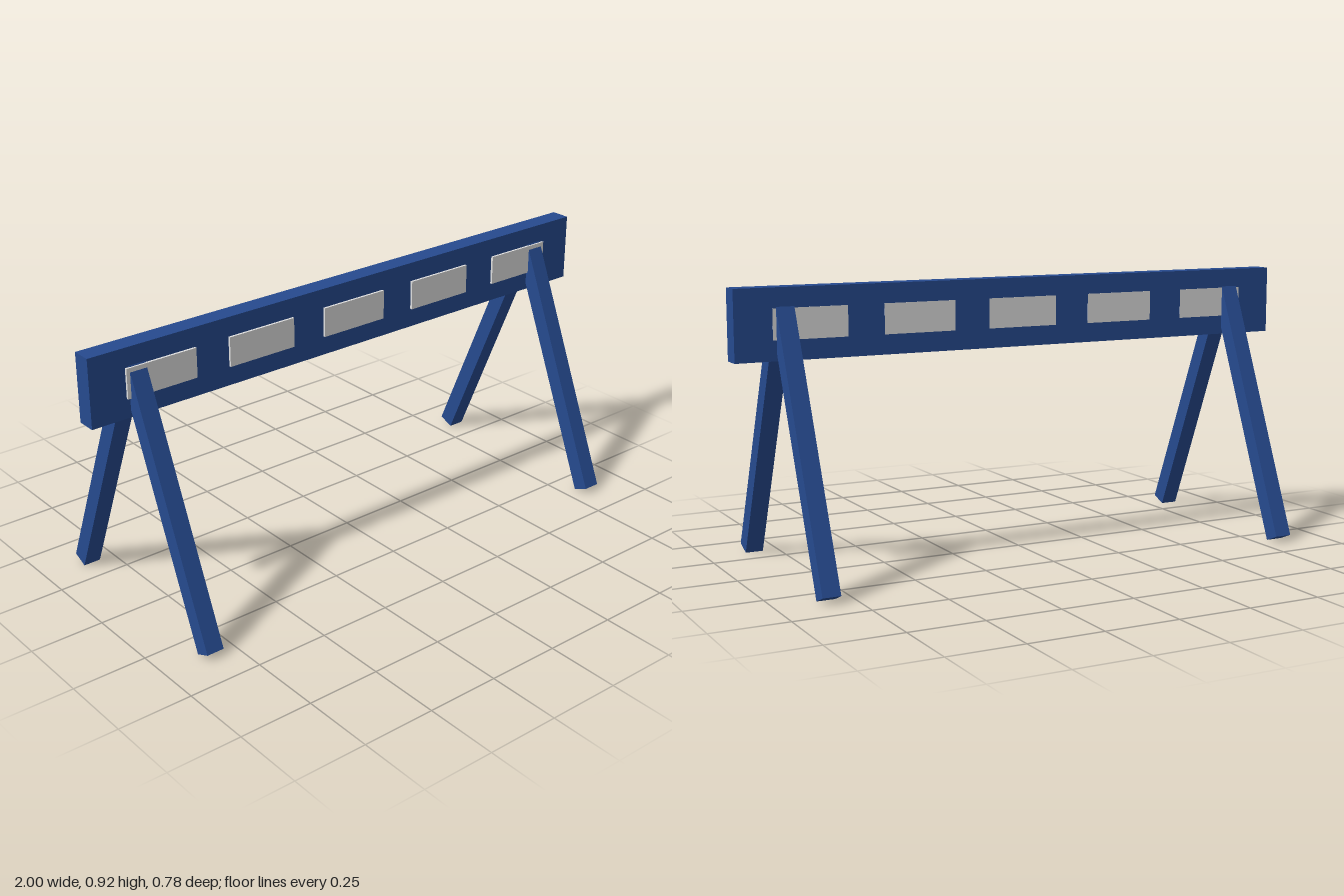
import * as THREE from 'three';

export function createModel() {
  const model = new THREE.Group();
  model.name = 'barrierTrestle';

  const blue = new THREE.MeshStandardMaterial({ color: 0x264a8f });
  blue.name = 'blue paint';
  const grey = new THREE.MeshStandardMaterial({ color: 0xdedede });
  grey.name = 'light grey panel';

  const addBox = (name, size, position, material) => {
    const mesh = new THREE.Mesh(new THREE.BoxGeometry(...size), material);
    mesh.name = name;
    mesh.position.set(...position);
    model.add(mesh);
    return mesh;
  };

  // Horizontal beam
  const halfDepth = 0.033;
  addBox('beam', [2, 0.23, halfDepth * 2], [0, 0.81, 0], blue);

  // Five panels: raised on the front, flush on the back
  for (let i = -2; i <= 2; i++) {
    const x = i * 0.375;
    addBox('frontPanel', [0.25, 0.1, 0.008], [x, 0.81, halfDepth + 0.004], grey);
    addBox('backPanel', [0.25, 0.1, 0.001], [x, 0.81, -halfDepth - 0.0003], grey);
  }

  // Four splayed legs, meeting inside the beam
  const foot = new THREE.Vector2(0.362, 0.013); // z, y
  const top = new THREE.Vector2(0.003, 0.862);
  const length = foot.distanceTo(top);
  const tilt = Math.atan2(foot.x - top.x, top.y - foot.y);
  for (const side of [-1, 1]) {
    for (const end of [-1, 1]) {
      const leg = addBox(
        end > 0 ? 'frontLeg' : 'backLeg',
        [0.06, length, 0.057],
        [side * 0.833, (foot.y + top.y) / 2, (end * (foot.x + top.x)) / 2],
        blue
      );
      leg.rotation.x = -end * tilt;
    }
  }

  return model;
}
